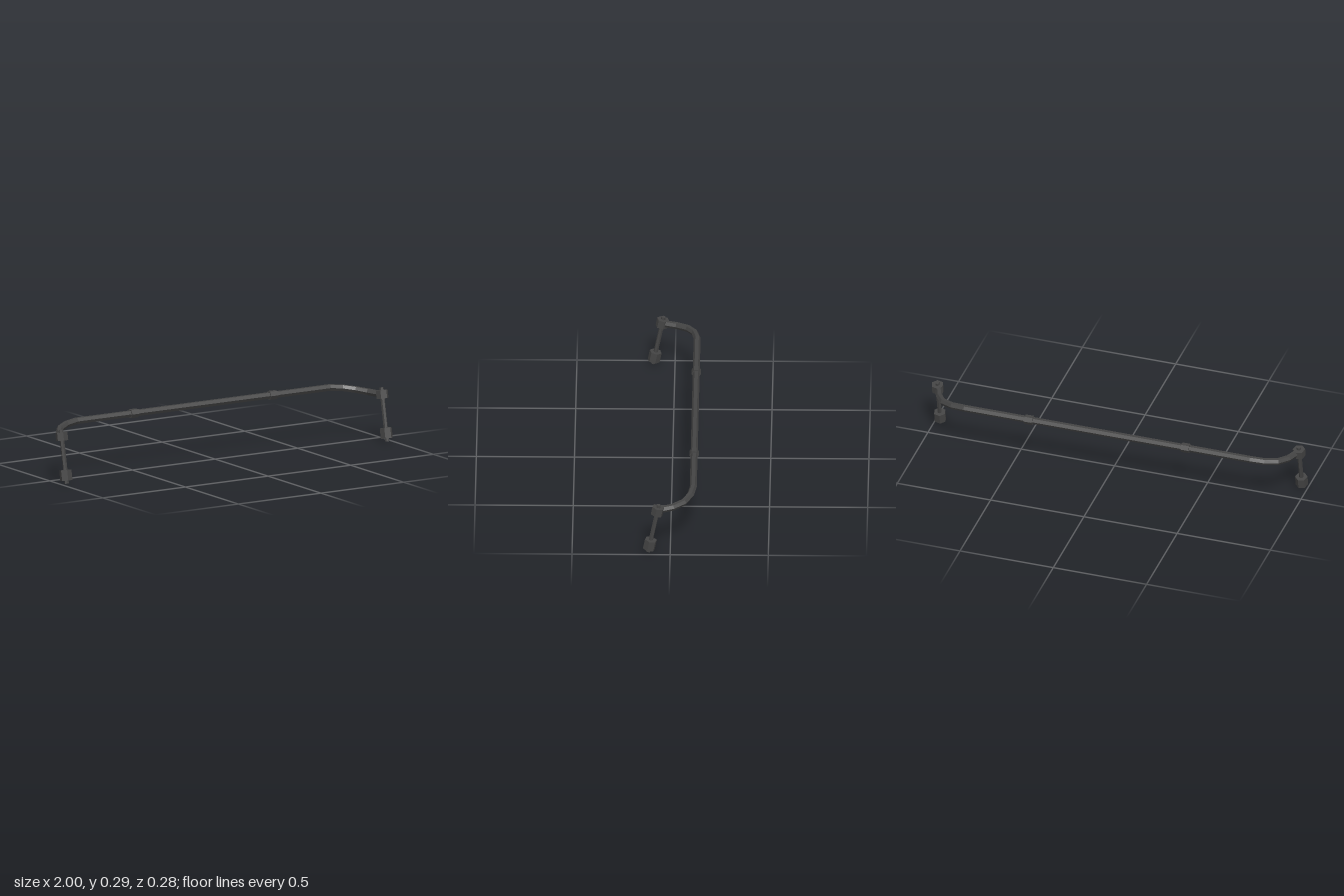
import * as THREE from 'three';

const SIDES = 6;
const material = new THREE.MeshStandardMaterial({ color: 0x444444, flatShading: true });

function addMesh(parent, name, geometry) {
  const mesh = new THREE.Mesh(geometry, material);
  mesh.name = name;
  parent.add(mesh);
  return mesh;
}

// Sweeps a flat-topped hexagon along a list of points, keeping it upright
function sweepHexagon(points, radius) {
  const positions = [], index = [];
  const worldUp = new THREE.Vector3(0, 1, 0);
  const last = points.length - 1;
  points.forEach((p, i) => {
    const before = points[Math.max(i - 1, 0)], after = points[Math.min(i + 1, last)];
    const tangent = p.clone().sub(before).normalize().add(after.clone().sub(p).normalize()).normalize();
    const side = tangent.clone().cross(worldUp).normalize();
    const up = side.clone().cross(tangent);
    for (let k = 0; k < SIDES; k++) {
      const a = (k / SIDES) * Math.PI * 2;
      const v = p.clone().addScaledVector(side, radius * Math.cos(a)).addScaledVector(up, radius * Math.sin(a));
      positions.push(v.x, v.y, v.z);
      if (i < last) {
        const a0 = i * SIDES + k, a1 = i * SIDES + (k + 1) % SIDES;
        index.push(a0, a0 + SIDES, a1, a1, a0 + SIDES, a1 + SIDES);
      }
    }
  });
  // End caps
  const e = last * SIDES;
  for (let k = 1; k < SIDES - 1; k++) index.push(0, k, k + 1, e, e + k + 1, e + k);
  const geometry = new THREE.BufferGeometry();
  geometry.setAttribute('position', new THREE.Float32BufferAttribute(positions, 3));
  geometry.setIndex(index);
  const flat = geometry.toNonIndexed();
  flat.computeVertexNormals();
  return flat;
}

export function createModel() {
  const model = new THREE.Group();
  model.name = 'antiRollBar';

  // Bar: straight across the back, both ends curving forward and slightly down
  const half = [
    [0.765, 0.266, -0.115], [0.835, 0.259, -0.102], [0.895, 0.249, -0.068],
    [0.935, 0.242, -0.012], [0.962, 0.24, 0.06],
  ].map(c => new THREE.Vector3(...c));
  const mirrored = half.map(p => new THREE.Vector3(-p.x, p.y, p.z)).reverse();
  addMesh(model, 'bar', sweepHexagon([...mirrored, ...half], 0.018));

  for (const s of [-1, 1]) {
    const sideName = s > 0 ? 'left' : 'right';

    // Mounting bushing around the straight part, points facing front and back
    const bushing = new THREE.CylinderGeometry(0.0245, 0.0245, 0.043, SIDES).rotateZ(Math.PI / 2);
    addMesh(model, sideName + 'Bushing', bushing).position.set(s * 0.42, 0.266, -0.115);

    // Drop link: leaning rod with a hexagonal joint near each end
    const link = new THREE.Group();
    link.name = sideName + 'DropLink';
    link.position.set(s * 0.969, 0.0025, 0.112);
    link.rotation.x = -0.197;
    const addHex = (name, radius, height, y) => {
      const geometry = new THREE.CylinderGeometry(radius, radius, height, SIDES);
      geometry.rotateY(s * Math.PI / 12);
      addMesh(link, name, geometry).position.y = y;
    };
    addHex('rod', 0.0115, 0.277, 0.1385);
    addHex('lowerJoint', 0.032, 0.054, 0.043);
    addHex('upperJoint', 0.032, 0.043, 0.242);
    model.add(link);
  }
  return model;
}
